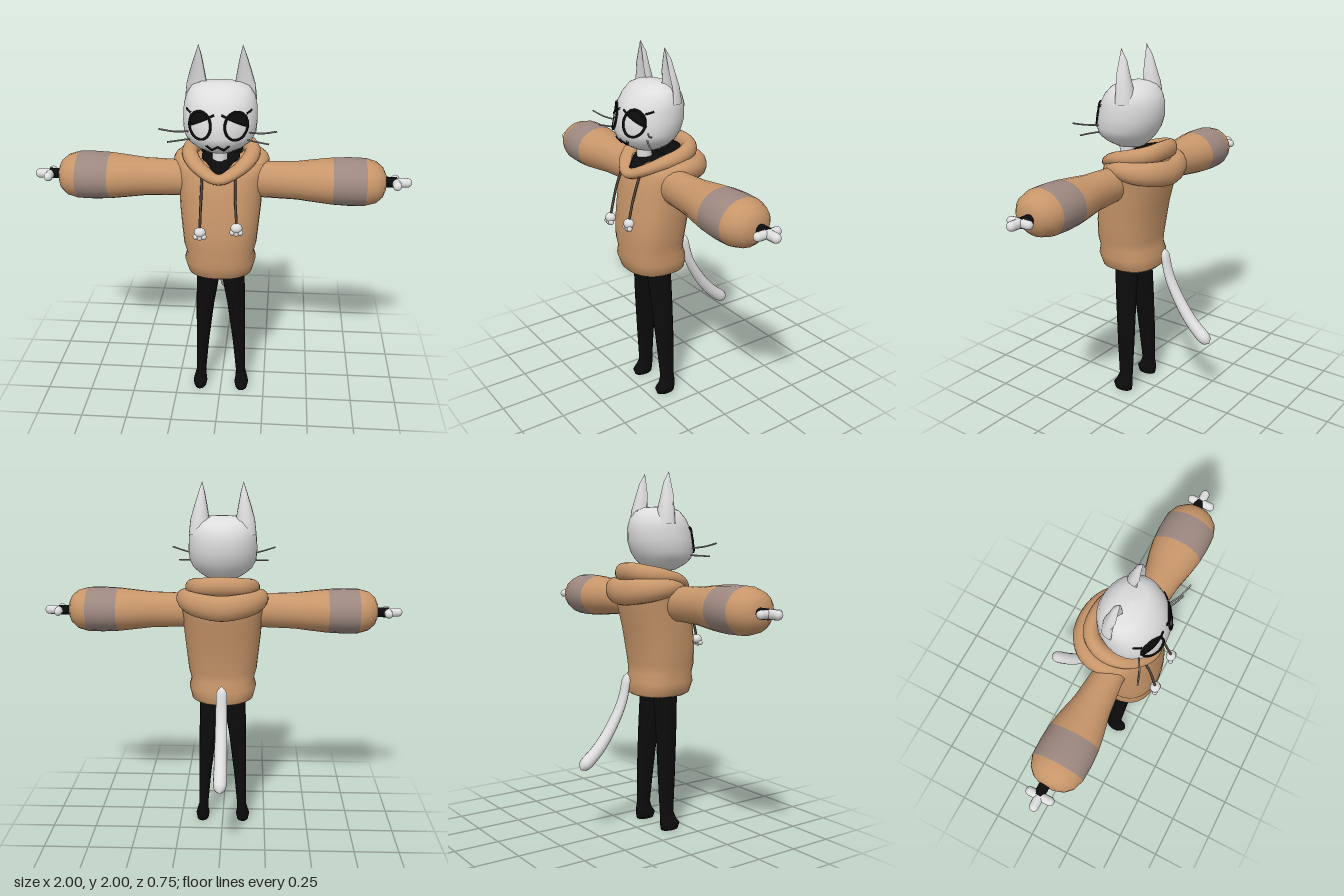
import * as THREE from 'three';

const mat = (name, color, side = THREE.FrontSide) => {
  const m = new THREE.MeshStandardMaterial({ color, side });
  m.name = name;
  return m;
};
const V = (x, y, z) => new THREE.Vector3(x, y, z);

// Joins rings of points into a smooth surface; one index block per ring gap
function skin(rings, closed = false) {
  const n = rings[0].length, index = [];
  const gaps = closed ? rings.length : rings.length - 1;
  for (let i = 0; i < gaps; i++) {
    const k = (i + 1) % rings.length;
    for (let j = 0; j < n; j++) {
      const a = i * n + j, b = k * n + j, c = i * n + (j + 1) % n, d = k * n + (j + 1) % n;
      index.push(a, b, c, b, d, c);
    }
  }
  const g = new THREE.BufferGeometry().setFromPoints(rings.flat());
  g.setIndex(index);
  g.computeVertexNormals();
  return g;
}

// Upright loft, rows: [y, half width, front z, back z, centre x]; power < 1 gives a boxier section
function loft(rows, segs = 24, power = 1) {
  const bend = v => Math.sign(v) * Math.abs(v) ** power;
  return skin(rows.map(([y, rx, zf, zb, cx = 0]) => Array.from({ length: segs }, (_, j) => {
    const a = j / segs * Math.PI * 2;
    return V(cx + rx * bend(Math.cos(a)), y, (zf + zb) / 2 + (zf - zb) / 2 * bend(Math.sin(a)));
  })));
}

// Elliptical section swept along a curve; ra is the radius along ref, rb across it
function sweep(points, ref, ra, rb, closed = false, steps = 32, segs = 14) {
  const curve = new THREE.CatmullRomCurve3(points, closed);
  const rings = [];
  for (let i = 0; i < (closed ? steps : steps + 1); i++) {
    const t = i / steps, c = curve.getPoint(t), T = curve.getTangent(t);
    const N = ref.clone().addScaledVector(T, -ref.dot(T)).normalize();
    const B = N.clone().cross(T);
    rings.push(Array.from({ length: segs }, (_, j) => {
      const a = j / segs * Math.PI * 2;
      return c.clone().addScaledVector(N, ra(t) * Math.cos(a)).addScaledVector(B, rb(t) * Math.sin(a));
    }));
  }
  return skin(rings, closed);
}

const HEAD = [
  [1.455, 0, 0.17, 0.17], [1.47, 0.08, 0.25, 0.08], [1.5, 0.13, 0.3, 0.05], [1.53, 0.165, 0.33, 0.025],
  [1.57, 0.185, 0.342, 0], [1.63, 0.19, 0.335, -0.02], [1.7, 0.187, 0.315, -0.02], [1.75, 0.175, 0.285, -0.005],
  [1.79, 0.148, 0.245, 0.03], [1.81, 0.1, 0.21, 0.07], [1.817, 0, 0.14, 0.14],
];
// Point on the front of the head, lifted by off
function onHead(x, y, off = 0.003) {
  const i = Math.max(1, HEAD.findIndex(r => r[0] >= y));
  const p = HEAD[i - 1], q = HEAD[i], t = (y - p[0]) / (q[0] - p[0]);
  const [, rx, zf, zb] = p.map((v, k) => v + (q[k] - v) * t);
  return V(x, y, (zf + zb) / 2 + (zf - zb) / 2 * Math.sqrt(Math.max(0, 1 - (x / rx) ** 2)) + off);
}

export function createModel() {
  const model = new THREE.Group();
  const white = mat('fur white', 0xdedede);
  const tan = mat('hoodie tan', 0xc8966a);
  const band = mat('sleeve band', 0x9d8880);
  const black = mat('black', 0x0c0c0c, THREE.DoubleSide);
  const cord = mat('cord brown', 0x5c4a3c);
  const grey = mat('whisker grey', 0x9a9a9a);
  const add = (name, geo, material) => {
    const m = new THREE.Mesh(geo, material);
    m.name = name;
    model.add(m);
    return m;
  };
  const line = (name, pts, r, material, closed = false, type = 'centripetal') => add(name,
    new THREE.TubeGeometry(new THREE.CatmullRomCurve3(pts, closed, type, 0), 40, r, 6, closed), material);

  // Head and neck
  add('head', loft(HEAD, 32), white);
  add('neck', new THREE.CylinderGeometry(0.04, 0.04, 0.14, 16).translate(0, 1.43, 0.19), white);
  line('mouth', [[-0.056, 1.537], [-0.03, 1.508], [0, 1.532], [0.03, 1.508], [0.056, 1.537]]
    .map(([x, y]) => onHead(x, y)), 0.006, black, false, 'catmullrom');

  // Hoodie body with gathered hem
  add('hoodieBody', loft([
    [0.8, 0, 0.15, 0.15], [0.77, 0.15, 0.285, 0], [0.785, 0.175, 0.31, -0.018], [0.85, 0.192, 0.33, -0.02],
    [0.895, 0.18, 0.325, -0.005], [0.95, 0.195, 0.333, -0.005], [1.05, 0.205, 0.33, -0.02],
    [1.15, 0.215, 0.315, -0.035], [1.25, 0.222, 0.3, -0.06], [1.33, 0.232, 0.28, -0.07],
    [1.38, 0.242, 0.25, -0.07], [1.41, 0.2, 0.215, -0.05], [1.42, 0, 0.1, 0.1],
  ], 32, 0.85), tan);

  // Shirt showing at the neck opening
  add('shirtFront', loft([
    [1.32, 0, 0.28, 0.28], [1.335, 0.02, 0.292, 0.2], [1.37, 0.055, 0.28, 0.1], [1.41, 0.1, 0.243, 0.03],
    [1.425, 0.1, 0.225, 0.03], [1.425, 0, 0.13, 0.13],
  ], 20), black);
  add('shirtBack', loft([[1.4, 0.11, 0.1, 0], [1.47, 0.11, 0.1, 0], [1.475, 0, 0.05, 0.05]], 20), black);

  // Hood: a collar roll that meets in a V, over a larger folded roll behind
  const mirrorPath = half => [...half, ...half.slice(1, -1).reverse().map(p => V(-p.x, p.y, p.z))];
  const up = V(0, 1, 0);
  add('hoodCollar', sweep(mirrorPath([
    V(0, 1.462, -0.045), V(0.11, 1.453, -0.02), V(0.162, 1.437, 0.07),
    V(0.15, 1.415, 0.17), V(0.09, 1.375, 0.243), V(0, 1.34, 0.28),
  ]), up, t => 0.04 + 0.012 * Math.cos(t * Math.PI * 2), () => 0.042, true, 48), tan);
  const roll = t => Math.sqrt(Math.max(0, 1 - Math.abs(2 * t - 1) ** 6));
  add('hoodFold', sweep([
    V(0.17, 1.375, 0.19), V(0.205, 1.38, 0.09), V(0.185, 1.37, 0), V(0.11, 1.36, -0.07), V(0, 1.35, -0.095),
    V(-0.11, 1.36, -0.07), V(-0.185, 1.37, 0), V(-0.205, 1.38, 0.09), V(-0.17, 1.375, 0.19),
  ], up, t => roll(t) * (0.035 + 0.035 * Math.sin(t * Math.PI)), t => 0.052 * roll(t)), tan);

  // Tail, narrow at the root and round at the tip
  const tip = t => Math.sqrt(Math.max(0, 1 - Math.max(0, (t - 0.9) / 0.1) ** 2));
  const root = t => Math.min(1, Math.sqrt(t / 0.06));
  add('tail', sweep([
    V(0, 0.905, -0.062), V(0, 0.75, -0.098), V(0, 0.62, -0.165), V(0, 0.5, -0.255), V(0, 0.4, -0.37),
  ], V(1, 0, 0), t => (0.03 + 0.008 * t) * tip(t) * root(t), t => (0.02 + 0.018 * t) * tip(t) * root(t)), white);

  for (const [s, side] of [[1, 'left'], [-1, 'right']]) {
    // Ears, hollow at the front
    const ear = loft([
      [1.72, 0.058, 0.175, 0.05, 0.126 * s], [1.8, 0.052, 0.165, 0.062, 0.123 * s], [1.87, 0.036, 0.15, 0.082, 0.119 * s],
      [1.94, 0.018, 0.133, 0.1, 0.114 * s], [2, 0, 0.117, 0.117, 0.111 * s],
    ], 20);
    const p = ear.attributes.position;
    for (let i = 0; i < p.count; i++) {
      const dz = p.getZ(i) - 0.115;
      if (dz > 0) p.setZ(i, 0.135 - dz * 0.5);
    }
    ear.computeVertexNormals();
    add(side + 'Ear', ear, white);

    // Eye outline and drooping lid
    const cx = 0.09, cy = 1.635, rx = 0.055, ry = 0.068;
    line(side + 'EyeOutline', Array.from({ length: 20 }, (_, i) => {
      const a = i / 20 * Math.PI * 2;
      return onHead(s * (cx + rx * Math.cos(a)), cy + ry * Math.sin(a));
    }), 0.0065, black, true);
    const lidY = x => 1.685 - (x - 0.03) * 0.5;
    const lid = new THREE.PlaneGeometry(1, 1, 16, 5);
    const q = lid.attributes.position;
    for (let i = 0; i < q.count; i++) {
      const u = q.getX(i) * 2, x = cx + rx * u, low = lidY(x);
      const top = Math.max(low, cy + ry * Math.sqrt(1 - u * u));
      const v = onHead(s * x, low + (top - low) * (q.getY(i) + 0.5), 0.006);
      q.setXYZ(i, v.x, v.y, v.z);
    }
    lid.computeVertexNormals();
    add(side + 'EyeLid', lid, black);
    line(side + 'LidEdge', [0.018, 0.05, 0.09, 0.13, 0.15].map(x => onHead(s * x, lidY(x))), 0.0055, black);
    line(side + 'Lash', [[0.138, 1.687], [0.15, 1.692], [0.163, 1.7]].map(([x, y]) => onHead(s * x, y)), 0.005, black);

    // Whiskers
    line(side + 'UpperWhisker', [V(0.15 * s, 1.588, 0.26), V(0.22 * s, 1.598, 0.3), V(0.293 * s, 1.617, 0.325)], 0.0045, grey);
    line(side + 'LowerWhisker', [V(0.14 * s, 1.55, 0.26), V(0.2 * s, 1.548, 0.29), V(0.255 * s, 1.545, 0.31)], 0.0045, grey);

    // Balloon sleeve with a coloured band
    const segs = 20;
    const sleeve = loft([
      [0.12, 0.105, 0.22, 0.04], [0.22, 0.096, 0.215, 0.05], [0.4, 0.101, 0.235, 0.03], [0.5, 0.112, 0.257, 0.005],
      [0.585, 0.121, 0.272, -0.01], [0.67, 0.125, 0.277, -0.015], [0.755, 0.123, 0.274, -0.012],
      [0.81, 0.108, 0.255, 0.01], [0.845, 0.078, 0.22, 0.045], [0.86, 0.045, 0.178, 0.085], [0.863, 0, 0.13, 0.13],
    ], segs);
    sleeve.rotateZ(-s * Math.PI / 2).translate(0, 1.293, 0);
    const row = segs * 6;
    sleeve.addGroup(0, row * 4, 0);
    sleeve.addGroup(row * 4, row * 2, 1);
    sleeve.addGroup(row * 6, row * 4, 0);
    add(side + 'Sleeve', sleeve, [tan, band]);

    // Wrist and paw
    add(side + 'Wrist', new THREE.CylinderGeometry(0.028, 0.028, 0.09, 12)
      .rotateZ(Math.PI / 2).translate(0.875 * s, 1.29, 0.115), black);
    add(side + 'Thumbs', new THREE.CapsuleGeometry(0.023, 0.11, 6, 12)
      .rotateX(Math.PI / 2).translate(0.917 * s, 1.29, 0.122), white);
    add(side + 'Finger', new THREE.CapsuleGeometry(0.025, 0.06, 6, 12)
      .rotateZ(Math.PI / 2).translate(0.944 * s, 1.29, 0.12), white);

    // Leg and foot
    add(side + 'Leg', loft([
      [0, 0, 0.15, 0.15, 0.12], [0, 0.034, 0.2, 0.09, 0.12], [0.03, 0.04, 0.21, 0.085, 0.12], [0.06, 0.033, 0.187, 0.083, 0.119],
      [0.1, 0.027, 0.172, 0.085, 0.114], [0.3, 0.036, 0.187, 0.08, 0.104], [0.55, 0.05, 0.205, 0.08, 0.087],
      [0.75, 0.065, 0.218, 0.08, 0.067], [0.83, 0.068, 0.22, 0.08, 0.066],
    ].map(r => [...r.slice(0, 4), r[4] * s]), 16), black);

    // Drawstring with a paw-shaped end; the right one hangs lower
    const drop = s > 0 ? 0.03 : 0, x = s > 0 ? 0.097 : -0.092, y = 1.075 + drop;
    line(side + 'Drawstring', [V(0.085 * s, 1.35, 0.275), V(0.088 * s, 1.24, 0.315), V(x, y + 0.02, 0.35)], 0.007, cord);
    add(side + 'StringPaw', new THREE.SphereGeometry(0.031, 14, 10).scale(1, 0.85, 0.9).translate(x, y, 0.353), white);
    for (const k of [-1, 0, 1]) {
      add(side + 'StringToe', new THREE.SphereGeometry(0.015, 10, 8)
        .translate(x + k * 0.021, y - 0.026 + Math.abs(k) * 0.005, 0.362), white);
    }
  }
  return model;
}
